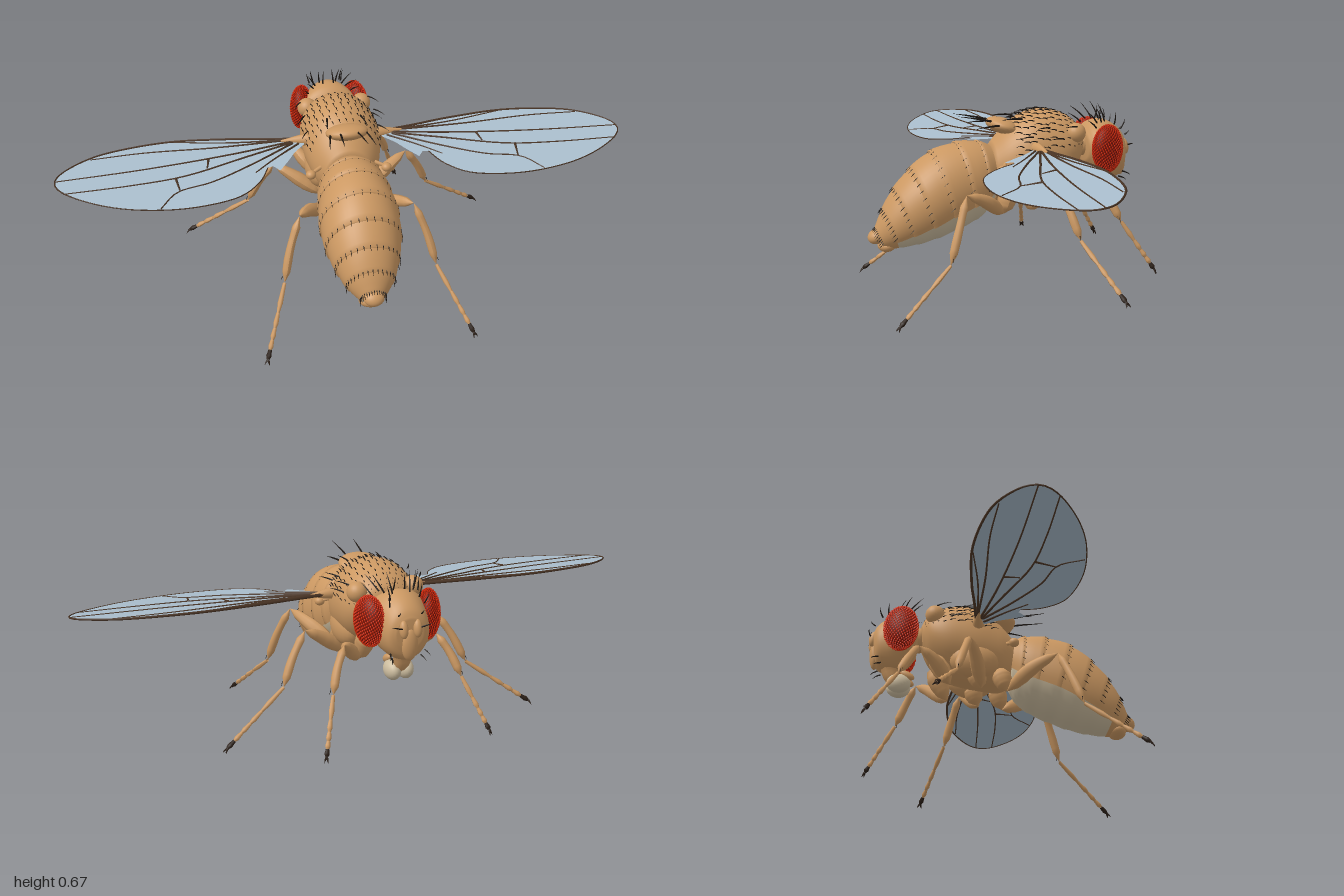
import * as THREE from 'three';
import { mergeGeometries } from 'three/addons/utils/BufferGeometryUtils.js';

const V = (x, y, z) => new THREE.Vector3(x, y, z);
const mat = (color, extra = {}) => new THREE.MeshStandardMaterial({ color, ...extra });
const DS = { side: THREE.DoubleSide };
const M = {
  skin: mat(0xcb9862, DS), belly: mat(0xcdbd9f, DS), eye: mat(0xd02808), eyeBase: mat(0x6e1003),
  wing: mat(0xa9bdcc, DS), vein: mat(0x4a3424), hair: mat(0x1c1611), claw: mat(0x2c2018),
};

// Body surface through stations [halfWidth, topY, topZ, bottomY, bottomZ]; t = 0 is the back, +t goes to +x
function bodySurface(stations) {
  const top = new THREE.CatmullRomCurve3(stations.map(s => V(s[0], s[1], s[2])));
  const low = new THREE.CatmullRomCurve3(stations.map(s => V(0, s[3], s[4])));
  return (u, t, k = 1) => {
    const a = top.getPoint(u), b = low.getPoint(u), c = Math.cos(t) * k / 2;
    return V(a.x * Math.sin(t) * k, (a.y + b.y) / 2 + (a.y - b.y) * c, (a.z + b.z) / 2 + (a.z - b.z) * c);
  };
}

// Skin a list of [u, scale] rings over an arc of the body surface
function skin(f, rings, t0 = -Math.PI, t1 = Math.PI, n = 32) {
  const pos = [], idx = [], w = n + 1;
  rings.forEach(([u, k], i) => {
    for (let j = 0; j <= n; j++) {
      pos.push(...f(u, t0 + (t1 - t0) * j / n, k).toArray());
      if (i && j) {
        const a = (i - 1) * w + j - 1, b = i * w + j - 1;
        idx.push(a, b, a + 1, b, b + 1, a + 1);
      }
    }
  });
  const g = new THREE.BufferGeometry();
  g.setAttribute('position', new THREE.Float32BufferAttribute(pos, 3));
  g.setIndex(idx);
  g.computeVertexNormals();
  return g;
}
const closedRings = n => [[0, 0], ...Array.from({ length: n + 1 }, (_, i) => [i / n, 1]), [1, 0]];

// Tube along points whose radius follows a list of values
function taper(points, radii, rings = 10, sides = 10) {
  const curve = new THREE.CatmullRomCurve3(points);
  const g = new THREE.TubeGeometry(curve, rings, 1, sides);
  const p = g.attributes.position, v = V();
  for (let i = 0; i < p.count; i++) {
    const t = Math.floor(i / (sides + 1)) / rings, c = curve.getPointAt(t);
    const q = t * (radii.length - 1), m = Math.min(Math.floor(q), radii.length - 2);
    v.fromBufferAttribute(p, i).sub(c).multiplyScalar(THREE.MathUtils.lerp(radii[m], radii[m + 1], q - m)).add(c);
    p.setXYZ(i, v.x, v.y, v.z);
  }
  g.computeVertexNormals();
  return g;
}
// Curved bristle from p along d, bending by b
const bristle = (p, d, b, r = 0.0025) =>
  taper([p, p.clone().addScaledVector(d, 0.5).addScaledVector(b, 0.2), p.clone().add(d).add(b)], [r, r * 0.8, 0.0003], 3, 4);

export function createModel() {
  const root = new THREE.Group();
  const add = (name, g, m, parent = root) => {
    const o = new THREE.Mesh(g, m);
    o.name = name;
    parent.add(o);
    return o;
  };
  const blob = (name, m, c, s, rx = 0, ry = 0, parent = root) => {
    const o = add(name, new THREE.SphereGeometry(1, 24, 16), m, parent);
    o.position.set(...c);
    o.scale.set(...s);
    o.rotation.set(rx, ry, 0);
    return o;
  };
  const hairs = [];

  // Abdomen: pale belly under seven overlapping back plates
  const abdomen = bodySurface([
    [.085, .53, .04, .34, .03], [.115, .547, .09, .29, .06], [.13, .545, .17, .252, .11], [.138, .515, .26, .222, .18],
    [.13, .455, .335, .198, .25], [.108, .385, .395, .183, .32], [.08, .315, .435, .178, .38], [.04, .25, .462, .178, .43]]);
  add('belly', skin(abdomen, closedRings(28).map(([u, k]) => [u, k * (0.955 + 0.03 * ((u * 7) % 1))])), M.belly);
  for (let i = 0; i < 7; i++) {
    const rings = [0, .25, .5, .75, 1].map(q => [(i + q) / 7, 0.975 + 0.045 * q]);
    rings.push([(i + 1) / 7, 0.93]);
    const arc = i > 5 ? Math.PI : 2.05;
    add('abdomenPlate' + (i + 1), skin(abdomen, rings, -arc, arc), M.skin);
    for (let j = -9; j <= 9; j++)
      hairs.push(bristle(abdomen((i + .9) / 7, j * .2, 1.015), V(0, -.008 - i * .001, .014), V(0, -.002, 0), .0015));
  }
  blob('abdomenTip', M.skin, [0, .225, .455], [.036, .026, .032], .4);
  blob('abdomenTipLower', M.skin, [0, .192, .42], [.045, .024, .032], .1);

  // Thorax with scutellum and rows of short bristles
  const thorax = bodySurface([
    [.06, .565, -.292, .48, -.285], [.105, .602, -.272, .425, -.255], [.132, .635, -.225, .375, -.2], [.14, .652, -.15, .35, -.13],
    [.136, .64, -.08, .34, -.07], [.115, .595, -.015, .335, 0], [.08, .53, .045, .36, .045]]);
  add('thorax', skin(thorax, closedRings(30), -Math.PI, Math.PI, 40), M.skin);
  blob('neck', M.skin, [0, .52, -.3], [.05, .045, .04]);
  blob('scutellum', M.skin, [0, .597, -.003], [.075, .028, .06], -.3);
  for (let i = 0; i < 12; i++)
    for (let j = -7; j <= 7; j++)
      hairs.push(bristle(thorax(.1 + i * .058, j * .19 + (i % 2) * .04), V(0, .014, .02), V(0, -.012, .008), .0022));
  for (const s of [-1, 1]) {
    hairs.push(bristle(V(s * .03, .615, .035), V(s * .01, .03, .12), V(0, -.005, .01), .004));
    hairs.push(bristle(V(s * .06, .605, .01), V(s * .02, .005, .09), V(0, -.01, .01), .004));
    hairs.push(bristle(V(s * .06, .625, -.06), V(s * .01, .01, .07), V(0, -.01, .01), .0035));
    for (const [y, z] of [[.6, -.24], [.56, -.19], [.57, -.08], [.6, -.14]])
      hairs.push(bristle(V(s * .125, y, z), V(s * .03, .01, .045), V(0, -.008, .01), .003));
  }

  // Head
  const head = bodySurface([
    [.045, .535, -.462, .44, -.458], [.07, .565, -.447, .4, -.445], [.085, .592, -.415, .385, -.41],
    [.1, .608, -.37, .39, -.37], [.112, .598, -.33, .42, -.335], [.08, .565, -.3, .46, -.305]]);
  add('head', skin(head, closedRings(20)), M.skin);
  blob('faceRidge', M.skin, [0, .45, -.455], [.028, .055, .018]);
  add('proboscis', taper([V(0, .42, -.4), V(0, .37, -.39), V(0, .335, -.36)], [.045, .032, .026, .02]), M.skin);

  // Eye facets spread evenly over a sphere
  const facets = [];
  for (let i = 0; i < 700; i++) {
    const y = 1 - (2 * i + 1) / 700, r = Math.sqrt(1 - y * y), a = i * 2.39996;
    facets.push(new THREE.IcosahedronGeometry(.058, 0).translate(r * Math.cos(a), y, r * Math.sin(a)));
  }
  const facetGeometry = mergeGeometries(facets);

  // Wing outline and veins as [x, z] on a slightly tilted plane
  const wingY = z => .517 - .13 * z;
  const outline = [[.14, -.1], [.27, -.118], [.41, -.14], [.62, -.155], [.83, -.125], [.95, -.065], [1, 0], [.97, .065],
    [.86, .14], [.73, .187], [.57, .205], [.41, .18], [.325, .115], [.285, .04]];
  const alula = [[.285, .04], [.265, .035], [.245, .062], [.21, .015], [.18, -.03], [.14, -.07]];
  const veins = [
    [[.18, -.1], [.4, -.118], [.6, -.153]], [[.18, -.1], [.45, -.098], [.7, -.108], [.88, -.1]],
    [[.18, -.09], [.4, -.052], [.7, -.018], [.998, 0]], [[.18, -.085], [.35, -.03], [.57, .04], [.75, .06], [.97, .068]],
    [[.18, -.08], [.33, .01], [.48, .085], [.6, .12], [.66, .195]], [[.48, -.04], [.49, .012]], [[.6, .045], [.59, .115]],
    [[.16, -.075], [.26, 0], [.33, .06]]];

  // Legs: [shoulder, hip, knee, ankle, foot]
  const legs = {
    front: [[.06, .43, -.245], [.07, .315, -.185], [.165, .415, -.3], [.23, .275, -.37], [.29, .112, -.472]],
    middle: [[.07, .38, -.1], [.075, .305, -.075], [.245, .42, -.13], [.34, .245, -.18], [.56, .09, -.255]],
    hind: [[.07, .38, -.01], [.08, .295, .015], [.2, .395, .18], [.27, .175, .255], [.36, .01, .447]] };

  for (const s of [-1, 1]) {
    const side = s > 0 ? 'left' : 'right';
    const P = (x, y, z) => V(s * x, y, z);

    for (const [name, g, m] of [['EyeBase', new THREE.SphereGeometry(1, 24, 16), M.eyeBase], ['EyeFacets', facetGeometry, M.eye]]) {
      const e = add(side + name, g, m);
      e.position.set(s * .103, .513, -.365);
      e.scale.set(.04, .084, .062);
      e.rotation.y = s * .35;
    }
    blob(side + 'Antenna', M.skin, [s * .024, .505, -.462], [.015, .03, .015], .2);
    blob(side + 'MouthLobe', M.belly, [s * .022, .335, -.365], [.028, .035, .043]);
    blob(side + 'Palp', M.skin, [s * .028, .365, -.335], [.012, .014, .028], .5);
    blob(side + 'Shoulder', M.skin, [s * .1, .575, -.245], [.035, .035, .035]);
    blob(side + 'SidePlate', M.skin, [s * .085, .41, -.1], [.05, .07, .09]);

    // Head bristles
    for (const [x, y, z, dx, dy, dz] of [[.03, .6, -.38, .01, .07, .02], [.05, .6, -.36, .03, .06, .02],
      [.06, .6, -.34, .03, .05, .04], [.02, .605, -.36, -.005, .055, -.02], [.05, .59, -.41, .01, .05, -.01],
      [.06, .575, -.43, .01, .04, -.025], [.06, .42, -.44, .01, -.01, -.04], [.05, .4, -.43, .01, -.01, -.04],
      [.03, .51, -.47, .04, .015, -.02], [.04, .55, -.455, 0, .02, -.03], [.08, .585, -.33, .02, .035, .03]])
      hairs.push(bristle(P(x, y, z), P(dx, dy, dz), P(0, -.003, .012), .003));

    // Wing membranes, veins, root and balancer knob
    const wing = new THREE.Group();
    wing.name = side + 'Wing';
    root.add(wing);
    const edge = new THREE.SplineCurve(outline.map(([x, z]) => new THREE.Vector2(s * x, -z))).getPoints(70);
    const shape = new THREE.Shape([...edge, ...alula.map(([x, z]) => new THREE.Vector2(s * x, -z))]);
    const g = new THREE.ShapeGeometry(shape).rotateX(-Math.PI / 2), p = g.attributes.position;
    for (let i = 0; i < p.count; i++) p.setY(i, wingY(p.getZ(i)));
    g.computeVertexNormals();
    add('wingMembrane', g, M.wing, wing);
    const onWing = ([x, z]) => P(x, wingY(z), z);
    const lines = veins.map(v => taper(v.map(onWing), [.005, .0035, .0025], 20, 5));
    lines.push(taper(edge.map(q => V(q.x, wingY(-q.y), -q.y)), [.006, .005, .004, .002, .002, .002], 80, 5));
    add('wingVeins', mergeGeometries(lines), M.vein, wing);
    add('wingRoot', taper([P(.11, .53, -.09), P(.15, .53, -.095), P(.24, .53, -.1)], [.025, .018, .008, 0]), M.skin, wing);
    add(side + 'BalancerStalk', taper([P(.08, .48, .005), P(.13, .465, .03)], [.008, .006]), M.skin);
    blob(side + 'BalancerKnob', M.skin, [s * .135, .462, .035], [.018, .016, .018]);

    // Legs with coxa, femur, tibia, five foot joints and claws
    for (const [name, pts] of Object.entries(legs)) {
      const leg = new THREE.Group();
      leg.name = side + name[0].toUpperCase() + name.slice(1) + 'Leg';
      root.add(leg);
      const [a, b, c, d, e] = pts.map(q => P(...q));
      const up = b.clone().lerp(c, .5).add(P(.012, .012, 0));
      add('coxa', taper([a, b], [.02, .034, .033, .026, 0], 12), M.skin, leg);
      add('femur', taper([b, up, c], [0, .019, .025, .025, .021, .016, 0], 18), M.skin, leg);
      const bend = c.clone().lerp(d, .5).add(P(.006, .004, 0));
      add('tibia', taper([c, bend, d], [0, .014, .013, .014, .015, .014, 0], 18), M.skin, leg);
      for (let i = 0; i < 5; i++) {
        const q = [0, .4, .6, .75, .88, 1];
        add('footJoint' + (i + 1), taper([d.clone().lerp(e, q[i]), d.clone().lerp(e, q[i + 1])], [.006, .0075, .009, .005], 6, 8), i > 3 ? M.claw : M.skin, leg);
      }
      const out = e.clone().sub(d).normalize().multiplyScalar(.016), across = V(out.z, 0, -out.x);
      for (const k of [-1, 1])
        add('claw', bristle(e, out.clone().addScaledVector(across, k * .7), V(0, -.006, 0), .004), M.claw, leg);
      for (let i = 1; i < 9; i++)
        hairs.push(bristle(c.clone().lerp(d, i / 9).add(P(.012, 0, 0)), P(.006, -.014, 0), V(0, -.002, 0), .0012));
    }
  }
  add('bristles', mergeGeometries(hairs), M.hair);
  return root;
}
